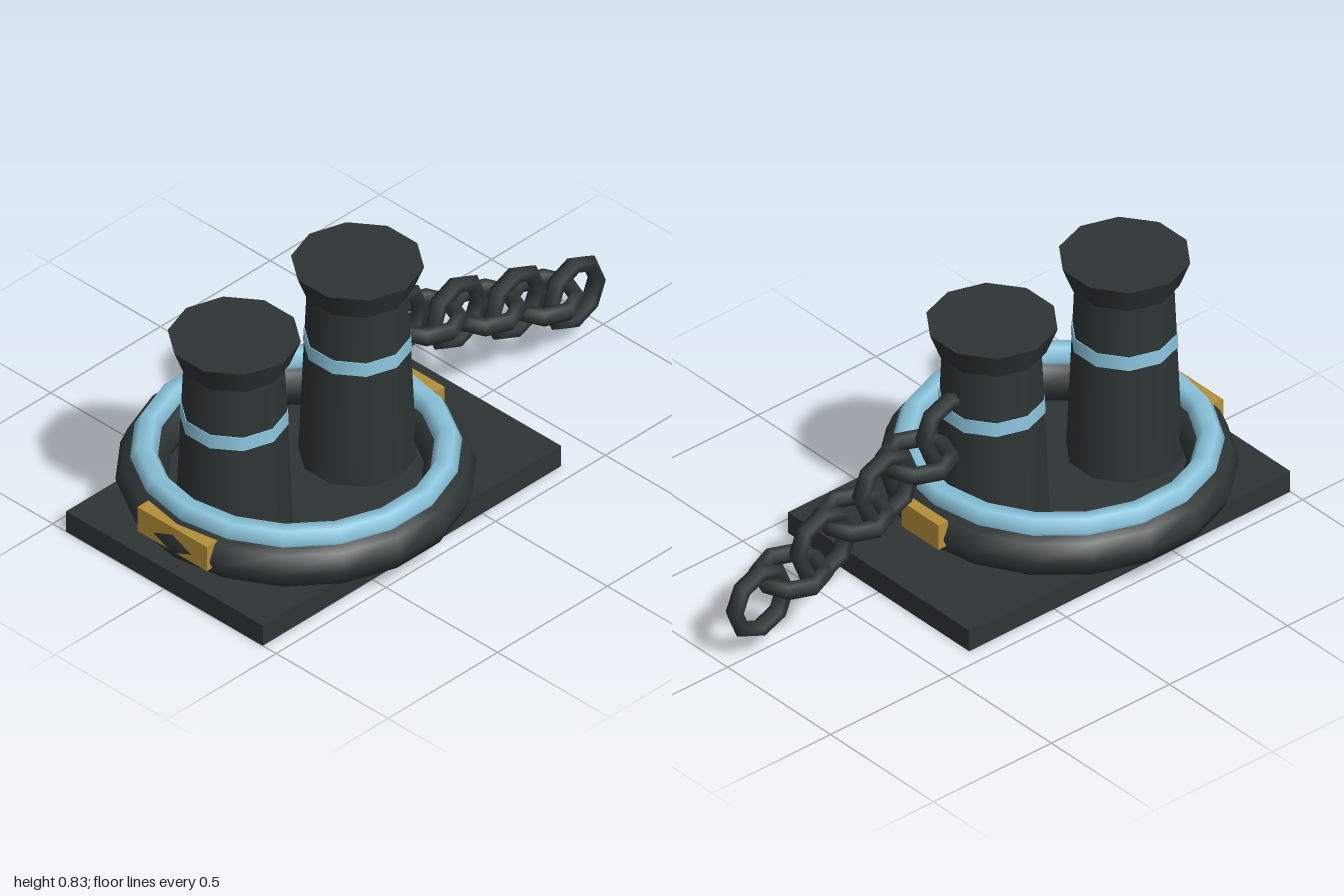
import * as THREE from 'three';

export function createModel() {
  const model = new THREE.Group();
  model.name = 'mooringBollard';

  const iron = new THREE.MeshStandardMaterial({ color: 0x2d3534 });
  iron.name = 'dark iron';
  const blue = new THREE.MeshStandardMaterial({ color: 0x8cc6de });
  blue.name = 'pale blue';
  const brass = new THREE.MeshStandardMaterial({ color: 0xb58f38 });
  brass.name = 'brass';

  function add(parent, name, geometry, material, x, y, z = 0) {
    const mesh = new THREE.Mesh(geometry, material);
    mesh.name = name;
    mesh.position.set(x, y, z);
    parent.add(mesh);
    return mesh;
  }

  // Base slab
  add(model, 'basePlate', new THREE.BoxGeometry(1.36, 0.08, 0.88), iron, -0.32, 0.04);

  // Fender ring with a blue ring set into its top
  const ringX = -0.4;
  add(model, 'fenderRing', new THREE.TorusGeometry(0.495, 0.085, 8, 18).rotateX(Math.PI / 2), iron, ringX, 0.16);
  add(model, 'blueRing', new THREE.TorusGeometry(0.488, 0.045, 6, 18).rotateX(Math.PI / 2), blue, ringX, 0.245);

  // Brass plates at both ends of the fender
  add(model, 'leftPlate', new THREE.BoxGeometry(0.04, 0.095, 0.18), brass, 0.165, 0.178);
  add(model, 'rightPlate', new THREE.BoxGeometry(0.055, 0.095, 0.31), brass, -0.9375, 0.178);

  // Two tapered posts with flared caps and blue bands
  for (const x of [-0.682, -0.12]) {
    const post = new THREE.Group();
    post.name = x < -0.4 ? 'rightPost' : 'leftPost';
    post.position.x = x;
    add(post, 'shaft', new THREE.CylinderGeometry(0.163, 0.192, 0.67, 10), iron, 0, 0.405);
    add(post, 'band', new THREE.CylinderGeometry(0.174, 0.176, 0.05, 10), blue, 0, 0.53);
    add(post, 'cap', new THREE.CylinderGeometry(0.215, 0.178, 0.095, 10), iron, 0, 0.7875);
    model.add(post);
  }

  // Chain of alternating upright and flat links
  const chain = new THREE.Group();
  chain.name = 'chain';
  const linkGeometry = new THREE.TorusGeometry(0.107, 0.03, 6, 8);
  for (let i = 0; i < 7; i++) {
    const link = add(chain, 'link', linkGeometry, iron, 0.061 + i * 0.1337, 0.5 - i * 0.0505);
    if (i % 2) link.rotation.x = Math.PI / 2;
  }
  model.add(chain);

  return model;
}
